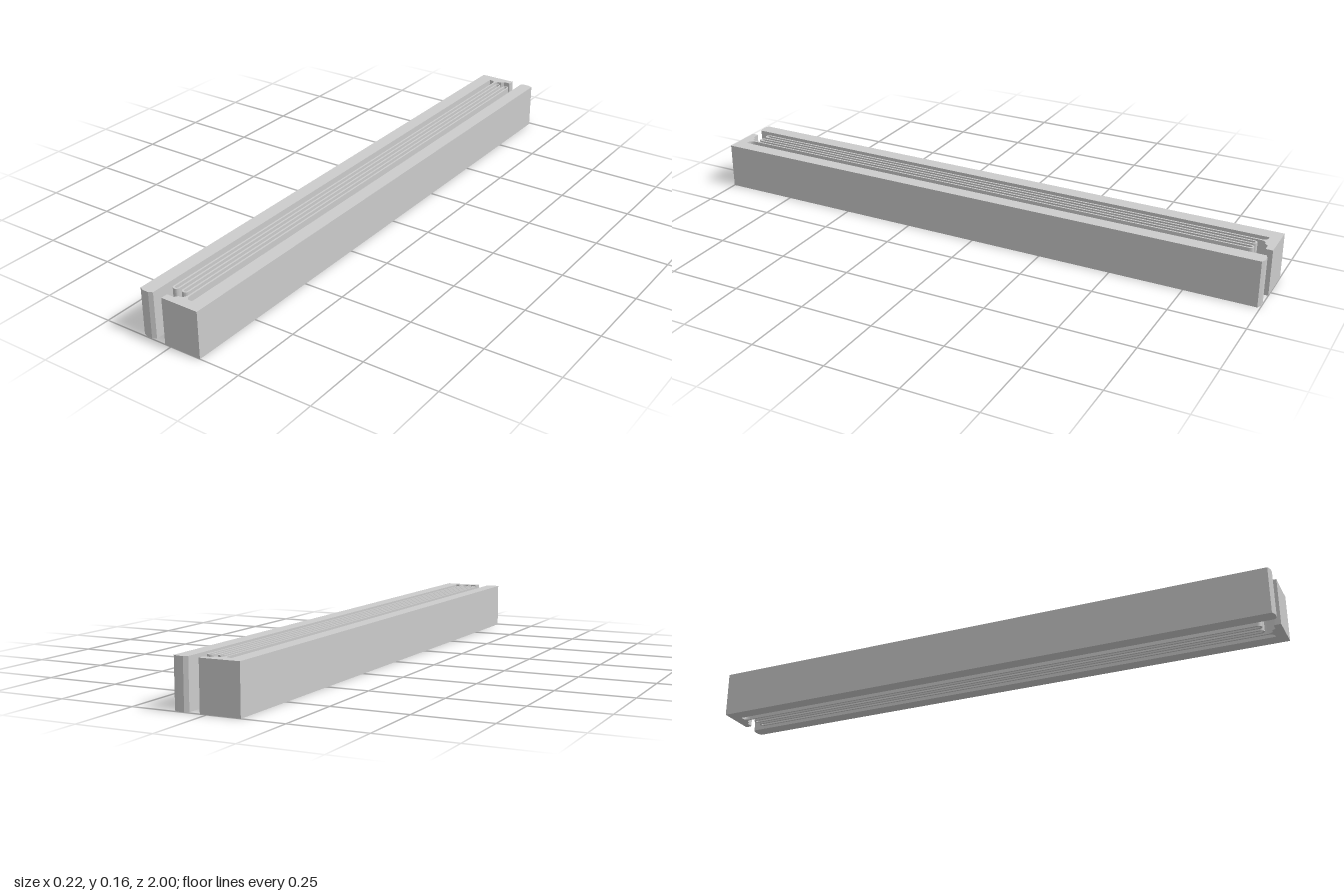
import * as THREE from 'three';
import { toCreasedNormals } from 'three/addons/utils/BufferGeometryUtils.js';

const HEIGHT = 0.158;
const PITCH = 0.0175; // spacing of the spring beams
const HALF = 0.003; // half the beam thickness

// Extrude a plan outline upward; outline y points to the back (-z).
function plate(name, points, material) {
  const geometry = new THREE.ExtrudeGeometry(new THREE.Shape(points), { depth: HEIGHT, bevelEnabled: false });
  geometry.rotateX(-Math.PI / 2);
  const mesh = new THREE.Mesh(toCreasedNormals(geometry, 0.33), material);
  mesh.name = name;
  return mesh;
}

// Outline of the folded spring: a serpentine centreline thickened on both sides.
function springOutline() {
  const r = PITCH / 2, beams = 5, reach = 0.93, anchor = 0.966;
  const path = [{ x: -2 * PITCH, y: anchor, nx: 1, ny: 0 }];
  for (let i = 0; i < beams - 1; i++) {
    const cx = (i - 2) * PITCH + r, s = i % 2 ? 1 : -1; // fold at the back or front
    for (let k = 0; k <= 12; k++) {
      const a = Math.PI * (1 - k / 12);
      const dx = Math.cos(a), dy = s * Math.sin(a);
      path.push({ x: cx + r * dx, y: s * reach + r * dy, nx: s * dx, ny: s * dy });
    }
  }
  path.push({ x: 2 * PITCH, y: -anchor, nx: 1, ny: 0 });
  const side = (d) => path.map((p) => new THREE.Vector2(p.x + d * p.nx, p.y + d * p.ny));
  return [...side(-HALF), ...side(HALF).reverse()];
}

// Concave fillet between the arm and one side (-1 or 1) of the spring's first beam,
// listed from the arm down to the beam.
function fillet(side) {
  const w = 0.015, h = 0.02, x = -2 * PITCH + side * (HALF + w);
  return Array.from({ length: 8 }, (_, k) => {
    const a = (k / 7) * Math.PI / 2;
    return [x - side * w * Math.sin(a), 0.945 + h * Math.cos(a)];
  });
}

export function createModel() {
  const model = new THREE.Group();
  model.name = 'foldedFlexure';
  const grey = new THREE.MeshStandardMaterial({ color: 0xcccccc });

  // Long side bar with a blunt chamfered tip and a short arm carrying the spring
  const frame = [
    [-0.11, -0.991], [-0.095, -0.998], [-0.075, -0.998], [-0.062, -0.991], [-0.062, 0.965],
    ...fillet(-1), ...fillet(1).reverse(),
    [-0.012, 0.965], [-0.004, 0.976], [0.019, 0.976], [0.022, 0.98], [0.022, 1], [-0.11, 1],
  ].map(([x, y]) => new THREE.Vector2(x, y));

  // Two identical frames, half a turn apart
  ['rightFrame', 'leftFrame'].forEach((name, i) => {
    const bar = plate(name, frame, grey);
    bar.rotation.y = i * Math.PI;
    model.add(bar);
  });

  // Thin serpentine spring joining the two arms
  model.add(plate('foldedSpring', springOutline(), grey));
  return model;
}
